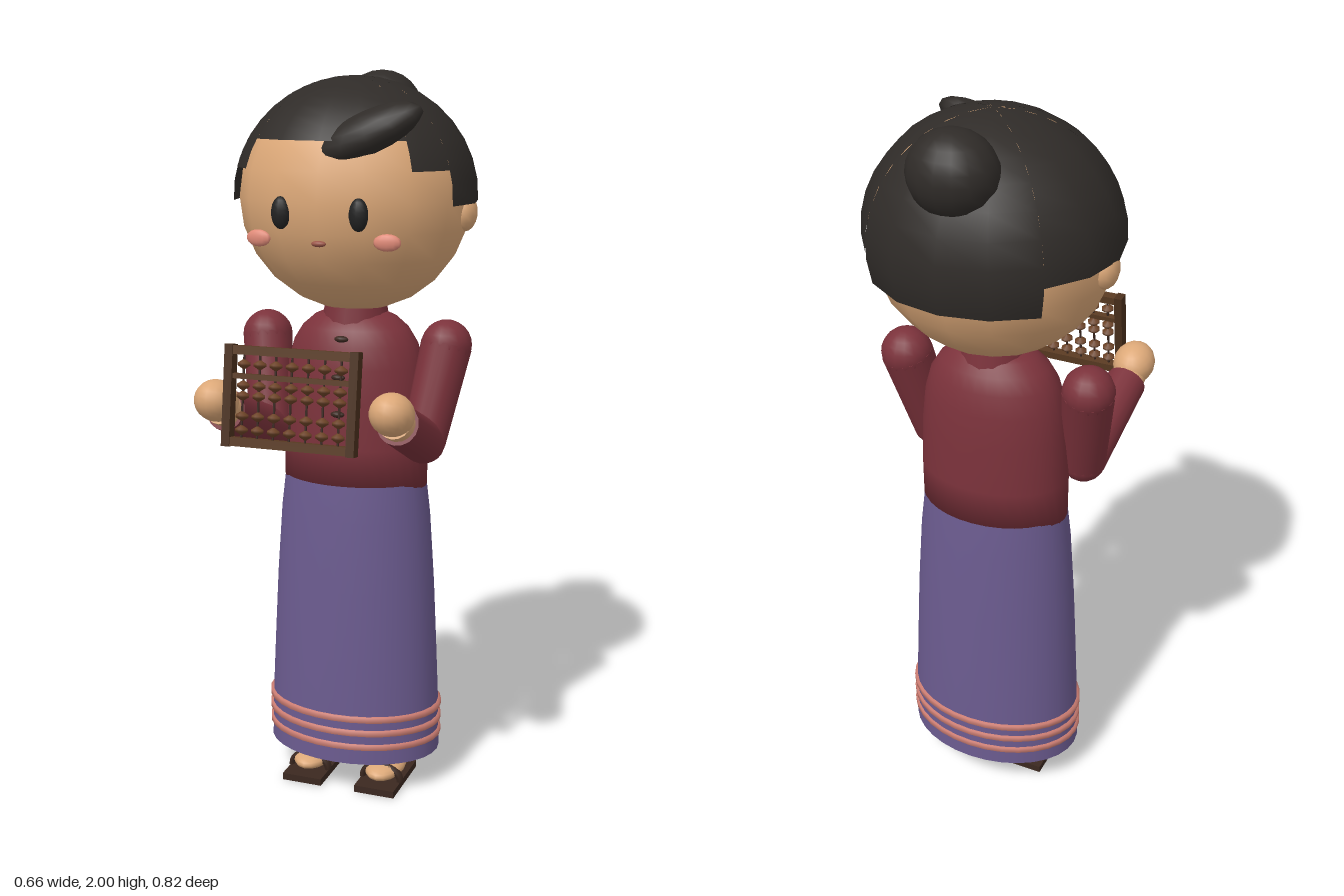
import * as THREE from 'three';

const SKIN = 0xdca878, HAIR = 0x2f2b28, RED = 0x7b323b, PURPLE = 0x6b5b8f, PINK = 0xcf7f74,
  WOOD = 0x593a22, DARK = 0x3b2820, BLACK = 0x222222;
const CZ = -0.095; // depth of the body axis
const v = (a) => new THREE.Vector3(...a);

export function createModel() {
  const model = new THREE.Group();
  const materials = {};
  const material = (color) => (materials[color] ??= new THREE.MeshStandardMaterial({ color, side: THREE.DoubleSide }));

  function add(name, geometry, color, pos = [0, 0, 0], parent = model) {
    const mesh = new THREE.Mesh(geometry, material(color));
    mesh.name = name;
    mesh.position.set(...pos);
    parent.add(mesh);
    return mesh;
  }
  function ellipsoid(name, color, radii, pos, seg = 16) {
    const mesh = add(name, new THREE.SphereGeometry(1, seg, Math.max(8, seg * 0.75)), color, pos);
    mesh.scale.set(...radii);
    return mesh;
  }
  // Tapered cylinder from a to b
  function limb(name, color, a, b, ra, rb) {
    const dir = v(b).sub(v(a));
    const mid = v(a).add(v(b)).multiplyScalar(0.5);
    const mesh = add(name, new THREE.CylinderGeometry(rb, ra, dir.length(), 16), color, mid.toArray());
    mesh.quaternion.setFromUnitVectors(new THREE.Vector3(0, 1, 0), dir.normalize());
    return mesh;
  }
  // Lathe squashed front to back
  function lathe(name, color, profile, depth) {
    const mesh = add(name, new THREE.LatheGeometry(profile.map((p) => new THREE.Vector2(...p)), 32), color, [0, 0, CZ]);
    mesh.scale.z = depth;
    return mesh;
  }

  // Head and face
  ellipsoid('head', SKIN, [0.315, 0.305, 0.295], [0, 1.67, CZ]);
  ellipsoid('mouth', 0x9a5548, [0.02, 0.008, 0.01], [0, 1.57, 0.183]);

  // Hair cap: sphere patches, each with its own hairline height (steps of 1/16 turn from the front)
  const hairline = [[-2, 2, 1.825], [2, 3, 1.75], [3, 6, 1.66], [6, 10, 1.58], [10, 13, 1.66], [13, 14, 1.75]];
  for (const [from, to, y] of hairline) {
    const step = Math.PI / 8;
    const patch = new THREE.SphereGeometry(1, to - from, 9, Math.PI / 2 + from * step, (to - from) * step,
      0, Math.acos((y - 1.67) / 0.315));
    add('hairCap', patch, HAIR, [0, 1.67, CZ]).scale.set(0.33, 0.315, 0.315);
  }
  ellipsoid('hairBun', HAIR, [0.113, 0.105, 0.1], [0, 1.895, -0.305]);
  const fringe = ellipsoid('fringe', HAIR, [0.15, 0.05, 0.066], [0.11, 1.845, 0.122], 12);
  fringe.rotation.set(0.5, 0.3, 0.3);

  // Collar, blouse and skirt
  add('collar', new THREE.CylinderGeometry(0.085, 0.095, 0.06, 16), RED, [0, 1.35, CZ]);
  add('neck', new THREE.CylinderGeometry(0.07, 0.07, 0.12, 16), SKIN, [0, 1.36, CZ]);
  lathe('blouse', RED, [[0, 0.88], [0.205, 0.88], [0.206, 1], [0.202, 1.13], [0.192, 1.22], [0.175, 1.28],
    [0.15, 1.32], [0.115, 1.35], [0.08, 1.365], [0, 1.37]], 0.7);
  const skirtProfile = [[0.203, 0.9], [0.215, 0.8], [0.229, 0.6], [0.239, 0.4], [0.246, 0.25], [0.25, 0.1]];
  lathe('skirt', PURPLE, skirtProfile.reverse(), 0.725);
  for (const y of [0.152, 0.194, 0.235]) {
    lathe('hemStripe', PINK, [[0.245, y - 0.009], [0.255, y - 0.008], [0.255, y + 0.008], [0.243, y + 0.009]], 0.725);
  }
  for (const [y, z] of [[1.3, 0.02], [1.2, 0.044], [1.1, 0.049], [1, 0.05]]) {
    ellipsoid('button', DARK, [0.02, 0.009, 0.012], [0, y, z], 8);
  }

  // Mirrored parts
  for (const s of [-1, 1]) {
    ellipsoid('ear', SKIN, [0.033, 0.05, 0.045], [s * 0.3, 1.635, -0.105], 12);
    ellipsoid('eye', BLACK, [0.026, 0.042, 0.02], [s * 0.105, 1.645, 0.178], 12);
    const cheek = ellipsoid('cheek', 0xe08a78, [0.036, 0.022, 0.012], [s * 0.175, 1.577, 0.16], 12);
    cheek.rotation.y = s * 0.15;

    const shoulder = [s * 0.26, 1.282, -0.09], elbow = [s * 0.222, 1.03, -0.015], cuff = [s * 0.236, 1.137, 0.25];
    ellipsoid('shoulder', RED, [0.069, 0.069, 0.069], shoulder);
    limb('upperArm', RED, shoulder, elbow, 0.069, 0.06);
    ellipsoid('elbow', RED, [0.06, 0.06, 0.06], elbow);
    limb('forearm', RED, elbow, cuff, 0.06, 0.055);
    limb('wrist', SKIN, [s * 0.236, 1.13, 0.23], [s * 0.237, 1.15, 0.28], 0.047, 0.045);
    ellipsoid('hand', SKIN, [0.057, 0.055, 0.066], [s * 0.238, 1.172, 0.3]).rotation.x = -0.35;

    add('leg', new THREE.CylinderGeometry(0.06, 0.047, 0.42, 16), SKIN, [s * 0.11, 0.27, -0.09]);
    ellipsoid('foot', SKIN, [0.055, 0.028, 0.095], [s * 0.11, 0.045, -0.055]);
    add('sandalSole', new THREE.BoxGeometry(0.118, 0.02, 0.212), DARK, [s * 0.11, 0.01, -0.052]);
    const strap = add('sandalStrap', new THREE.TorusGeometry(0.056, 0.01, 6, 14, Math.PI), DARK, [s * 0.11, 0.022, -0.015]);
    strap.scale.set(1, 0.75, 1.6);
  }

  // Abacus, leaning back slightly
  const abacus = new THREE.Group();
  abacus.name = 'abacus';
  abacus.position.set(0, 1.207, 0.376);
  abacus.rotation.x = -0.14;
  model.add(abacus);
  for (const s of [-1, 1]) {
    add('abacusSide', new THREE.BoxGeometry(0.022, 0.256, 0.032), 0x4a2f1c, [s * 0.166, 0, 0], abacus);
    add('abacusRail', new THREE.BoxGeometry(0.32, 0.022, 0.026), WOOD, [0, s * 0.115, 0], abacus);
  }
  add('abacusBeam', new THREE.BoxGeometry(0.32, 0.013, 0.02), WOOD, [0, 0.05, 0], abacus);
  const beadProfile = [[0.003, -0.012], [0.017, -0.003], [0.017, 0.003], [0.003, 0.012]].map((p) => new THREE.Vector2(...p));
  const bead = new THREE.LatheGeometry(beadProfile, 8);
  for (let i = -3; i <= 3; i++) {
    const x = i * 0.043;
    add('abacusRod', new THREE.CylinderGeometry(0.003, 0.003, 0.22, 6), DARK, [x, 0, 0], abacus);
    for (const y of [0.08, 0.027, 0.001, -0.05, -0.085]) add('bead', bead, 0x6b4226, [x, y, 0], abacus);
  }
  return model;
}
